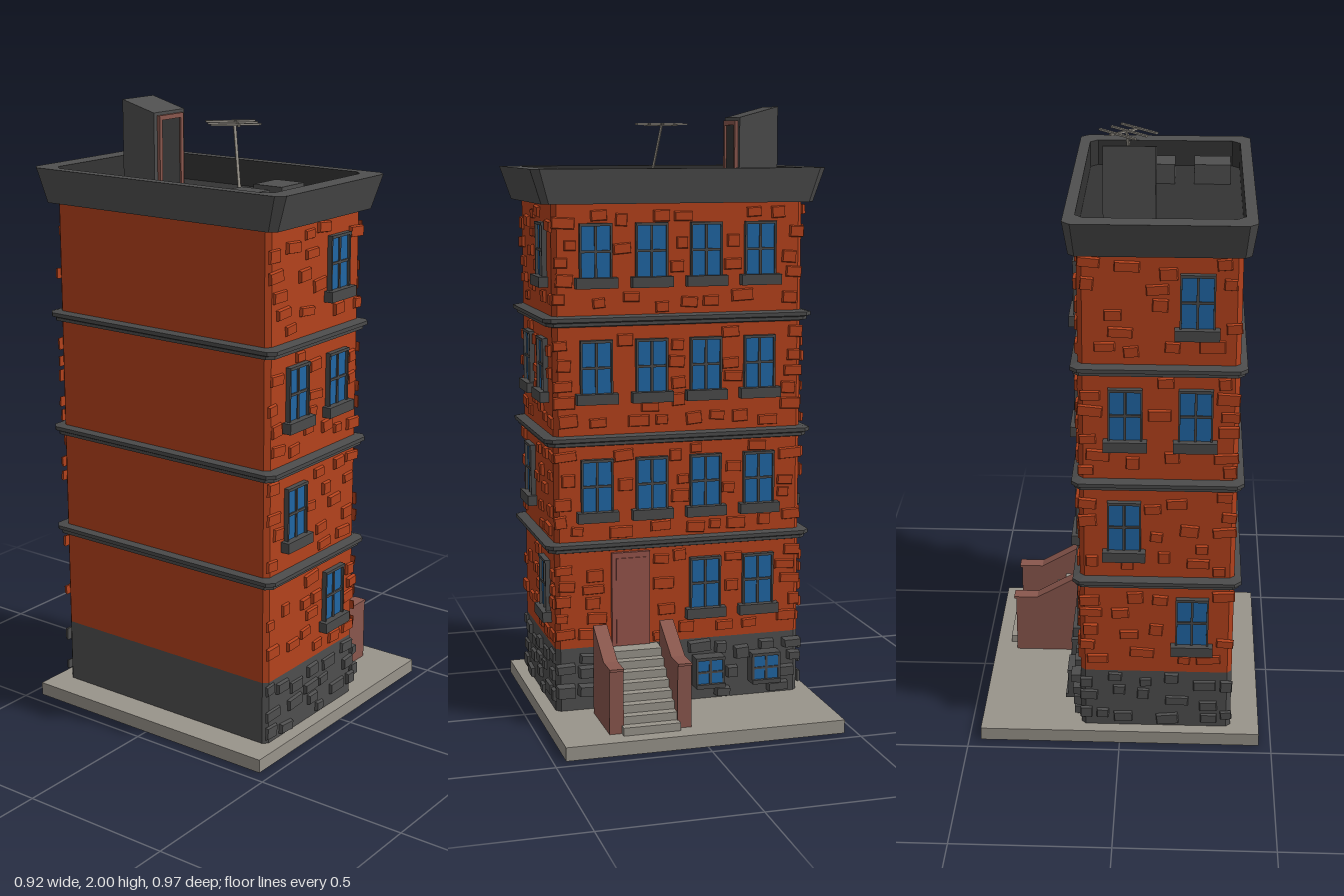
import * as THREE from 'three';
import { mergeGeometries } from 'three/addons/utils/BufferGeometryUtils.js';

const mat = (name, color) => {
  const m = new THREE.MeshStandardMaterial({ color });
  m.name = name;
  return m;
};

export function createModel() {
  const brick = mat('brick', 0xb5421c), grey = mat('stone grey', 0x4f4f4f), dark = mat('roof dark', 0x343434);
  const trim = mat('trim grey', 0x4b4b4b), glass = mat('glass blue', 0x2066a4), wood = mat('red brown', 0x8a574d);
  const pave = mat('pavement', 0x99948b), green = mat('underside green', 0x759f90), door = mat('door red', 0x96544b);

  const model = new THREE.Group();
  const add = (parent, name, geo, m) => {
    const mesh = new THREE.Mesh(geo, m);
    mesh.name = name;
    parent.add(mesh);
    return mesh;
  };
  const group = (name, parent = model) => {
    const g = new THREE.Group();
    g.name = name;
    parent.add(g);
    return g;
  };
  // box from minimum and maximum corners
  const box = (x0, x1, y0, y1, z0, z1) =>
    new THREE.BoxGeometry(x1 - x0, y1 - y0, z1 - z0).translate((x0 + x1) / 2, (y0 + y1) / 2, (z0 + z1) / 2);

  const CX = -0.119, HX = 0.247, HZ = 0.417;
  // eight-sided rings with cut corners, joined with flat faces; ring = [y, dx, dz, cut]
  const loft = (rings, cap = false) => {
    const pts = rings.map(([y, dx, dz, c]) => {
      const a = HX + dx, b = HZ + dz;
      return [[a, b - c], [a, c - b], [a - c, -b], [c - a, -b], [-a, c - b], [-a, b - c], [c - a, b], [a - c, b]]
        .map(([x, z]) => [CX + x, y, z]);
    });
    const v = [];
    for (let r = 0; r < pts.length - 1; r++)
      for (let i = 0; i < 8; i++) {
        const j = (i + 1) % 8, [p, q] = [pts[r], pts[r + 1]];
        v.push(...p[i], ...p[j], ...q[j], ...p[i], ...q[j], ...q[i]);
      }
    const top = pts[pts.length - 1];
    if (cap) for (let i = 1; i < 7; i++) v.push(...top[0], ...top[i], ...top[i + 1]);
    const g = new THREE.BufferGeometry();
    g.setAttribute('position', new THREE.Float32BufferAttribute(v, 3));
    g.computeVertexNormals();
    return g;
  };

  // ground slab
  add(model, 'pavementSlab', box(-0.46, 0.46, 0.001, 0.045, -0.46, 0.46), pave);
  add(model, 'slabUnderside', box(-0.37, 0.13, 0, 0.002, -0.42, 0.42), green);

  // body
  add(model, 'basement', loft([[0.04, 0, 0, 0.015], [0.255, 0, 0, 0.015]]), grey);
  add(model, 'brickBody', loft([[0.255, 0, 0, 0.015], [1.71, 0, 0, 0.015]]), brick);
  for (const y of [0.592, 0.94, 1.325])
    add(model, 'floorBand', loft([[y - 0.018, 0, 0, 0.015], [y - 0.014, 0.014, 0.02, 0.02], [y - 0.004, 0.014, 0.02, 0.02],
      [y, 0.022, 0.032, 0.022], [y + 0.012, 0.022, 0.032, 0.022], [y + 0.018, 0, 0, 0.015]]), trim);

  // cornice and flat roof
  add(model, 'cornice', loft([[1.695, 0, 0, 0.015], [1.695, 0.023, 0.033, 0.02], [1.805, 0.038, 0.07, 0.025], [1.805, 0.003, 0.005, 0.025]]), grey);
  add(model, 'roofWell', loft([[1.805, 0.003, 0.005, 0.025], [1.72, 0.003, 0.005, 0.025]], true), dark);

  // windows are made in wall space: x along the wall, z outward
  const makeWindow = (wall, u, y) => {
    const g = group('window', wall);
    g.position.set(u, y, 0);
    add(g, 'windowGlass', box(-0.047, 0.047, 0.03, 0.198, 0, 0.007), glass);
    add(g, 'windowSill', box(-0.068, 0.068, 0, 0.034, 0, 0.03), trim);
    add(g, 'windowHeader', box(-0.053, 0.053, 0.196, 0.205, 0, 0.018), trim);
    for (const s of [-1, 1]) add(g, 'windowJamb', box(s * 0.05 - 0.003, s * 0.05 + 0.003, 0.03, 0.2, 0, 0.016), trim);
    add(g, 'windowMullion', box(-0.004, 0.004, 0.03, 0.2, 0, 0.012), trim);
    add(g, 'windowTransom', box(-0.047, 0.047, 0.112, 0.12, 0, 0.012), trim);
  };

  // raised bricks with sloping edges, thrown at random where they miss openings and each other
  // opening = [u, y0, y1, half width]
  let seed = 7;
  const rnd = () => (seed = (seed * 16807) % 2147483647) / 2147483647;
  const bricks = (wall, name, m, half, y0, y1, count, depth, openings) => {
    const list = [], taken = [...openings];
    for (let t = 0; t < 600 && list.length < count; t++) {
      const w = 0.038 + 0.042 * rnd(), h = 0.03 + 0.012 * rnd(), d = depth * (0.75 + 0.5 * rnd());
      const reach = half + 0.003 - w / 2;
      const u = Math.max(-reach, Math.min(reach, (rnd() * 2 - 1) * (half + 0.01)));
      const y = y0 + h / 2 + rnd() * (y1 - y0 - h);
      if (taken.some(([hu, a, b, hw]) => Math.abs(u - hu) < hw + w / 2 && y + h / 2 > a && y - h / 2 < b)) continue;
      taken.push([u, y - h / 2 - 0.008, y + h / 2 + 0.008, w / 2 + 0.01]);
      const g = new THREE.BoxGeometry(w, h, d), p = g.attributes.position;
      for (let i = 0; i < p.count; i++)
        if (p.getZ(i) > 0) p.setXY(i, p.getX(i) - Math.sign(p.getX(i)) * 0.003, p.getY(i) - Math.sign(p.getY(i)) * 0.003);
      g.computeVertexNormals();
      list.push(g.rotateZ((rnd() - 0.5) * 0.2).translate(u, y, d / 2));
    }
    add(wall, name, mergeGeometries(list), m);
  };

  const sills = [0.33, 0.675, 1.06, 1.43];
  const floors = [[0.262, 0.568], [0.615, 0.918], [0.965, 1.302], [1.348, 1.69]];
  const dress = (wall, half, layout, extra, count) => {
    layout.forEach((us, f) => {
      us.forEach(u => makeWindow(wall, u, sills[f]));
      const openings = us.flatMap(u => [[u, sills[f], sills[f] + 0.036, 0.068], [u, sills[f], sills[f] + 0.207, 0.054]]);
      bricks(wall, 'raisedBricks', brick, half, ...floors[f], count, 0.009, openings.concat(extra));
    });
  };

  // front and back walls share one layout, turned half round
  const endLayout = [[0.114], [-0.105], [-0.102, 0.114], [0.114]];
  for (const s of [1, -1]) {
    const wall = group(s > 0 ? 'frontWall' : 'backWall');
    wall.position.set(CX, 0, s * HZ);
    wall.rotation.y = s > 0 ? 0 : Math.PI;
    dress(wall, HX, endLayout, [], 15);
    bricks(wall, 'basementStones', grey, HX, 0.05, 0.25, 17, 0.01, []);
  }

  // entrance wall on the +x side
  const side = group('entranceWall');
  side.position.x = CX + HX;
  side.rotation.y = Math.PI / 2;
  const row = [-0.278, -0.095, 0.087, 0.27];
  dress(side, HZ, [row.slice(2), row, row, row], [[-0.17, 0.2, 0.575, 0.07]], 26);
  const low = [0.095, 0.29];
  bricks(side, 'basementStones', grey, HZ, 0.05, 0.25, 32, 0.03,
    [[-0.17, 0, 0.3, 0.1], ...low.map(u => [u, 0.09, 0.2, 0.05])]);
  for (const u of low) {
    const g = group('basementWindow', side);
    g.position.set(u, 0.095, 0);
    add(g, 'windowGlass', box(-0.044, 0.044, 0.01, 0.095, 0, 0.044), glass);
    add(g, 'windowSill', box(-0.05, 0.05, 0, 0.014, 0, 0.056), trim);
    add(g, 'windowHeader', box(-0.05, 0.05, 0.094, 0.104, 0, 0.05), trim);
    for (const x of [-0.046, 0, 0.046]) add(g, 'windowBar', box(x - 0.004, x + 0.004, 0.01, 0.095, 0, 0.048), trim);
    add(g, 'windowTransom', box(-0.044, 0.044, 0.05, 0.057, 0, 0.048), trim);
  }
  add(side, 'frontDoor', box(-0.232, -0.104, 0.255, 0.568, 0, 0.014), door);
  add(side, 'doorPanel', box(-0.218, -0.118, 0.265, 0.55, 0.012, 0.018), door);

  // entrance stairs with solid side walls
  const stairs = group('stairs');
  for (let i = 0; i < 8; i++)
    add(stairs, 'step', box(0.125, 0.41 - i * 0.031, 0.045 + i * 0.026, 0.071 + i * 0.026, 0.077, 0.263), pave);
  const rail = new THREE.Shape([[0.17, 0.045], [0.385, 0.045], [0.385, 0.25], [0.392, 0.25], [0.392, 0.258], [0.31, 0.258], [0.17, 0.34]]
    .map(p => new THREE.Vector2(...p)));
  for (const z of [0.034, 0.257])
    add(stairs, 'stairSideWall', new THREE.ExtrudeGeometry(rail, { depth: 0.046, bevelEnabled: false }).translate(0, 0, z), wood);

  // roof access hut with a sloping top
  const hut = group('roofHut');
  const profile = new THREE.Shape([[-0.355, 1.72], [-0.225, 1.72], [-0.225, 1.965], [-0.355, 2]].map(p => new THREE.Vector2(...p)));
  add(hut, 'hutBody', new THREE.ExtrudeGeometry(profile, { depth: 0.155, bevelEnabled: false }).rotateY(-Math.PI / 2).translate(0.051, 0, 0), grey);
  add(hut, 'hutDoor', box(-0.075, 0.02, 1.72, 1.94, -0.226, -0.22), dark);
  for (const x of [-0.088, 0.02]) add(hut, 'hutDoorJamb', box(x, x + 0.014, 1.72, 1.955, -0.226, -0.214), wood);
  add(hut, 'hutDoorHeader', box(-0.088, 0.034, 1.94, 1.955, -0.226, -0.214), wood);

  // roof units
  for (const x of [-0.335, -0.155]) add(model, 'roofUnit', box(x, x + 0.118, 1.715, 1.785, 0.207, 0.312), grey);

  // aerial
  const aerial = group('aerial');
  const rod = (name, a, b) => {
    const p = new THREE.Vector3(...a), q = new THREE.Vector3(...b);
    const m = add(aerial, name, new THREE.BoxGeometry(0.009, 0.006, p.distanceTo(q)), pave);
    m.position.copy(p).add(q).multiplyScalar(0.5);
    m.lookAt(q);
  };
  rod('aerialPole', [-0.03, 1.72, 0.062], [-0.005, 1.94, 0.022]);
  rod('aerialBoom', [-0.045, 1.94, 0.07], [0.045, 1.94, -0.015]);
  for (const [x, z] of [[-0.1, 0], [-0.07, -0.035], [-0.035, -0.07]])
    rod('aerialElement', [x, 1.943, z], [x + 0.115, 1.943, z + 0.112]);

  return model;
}
